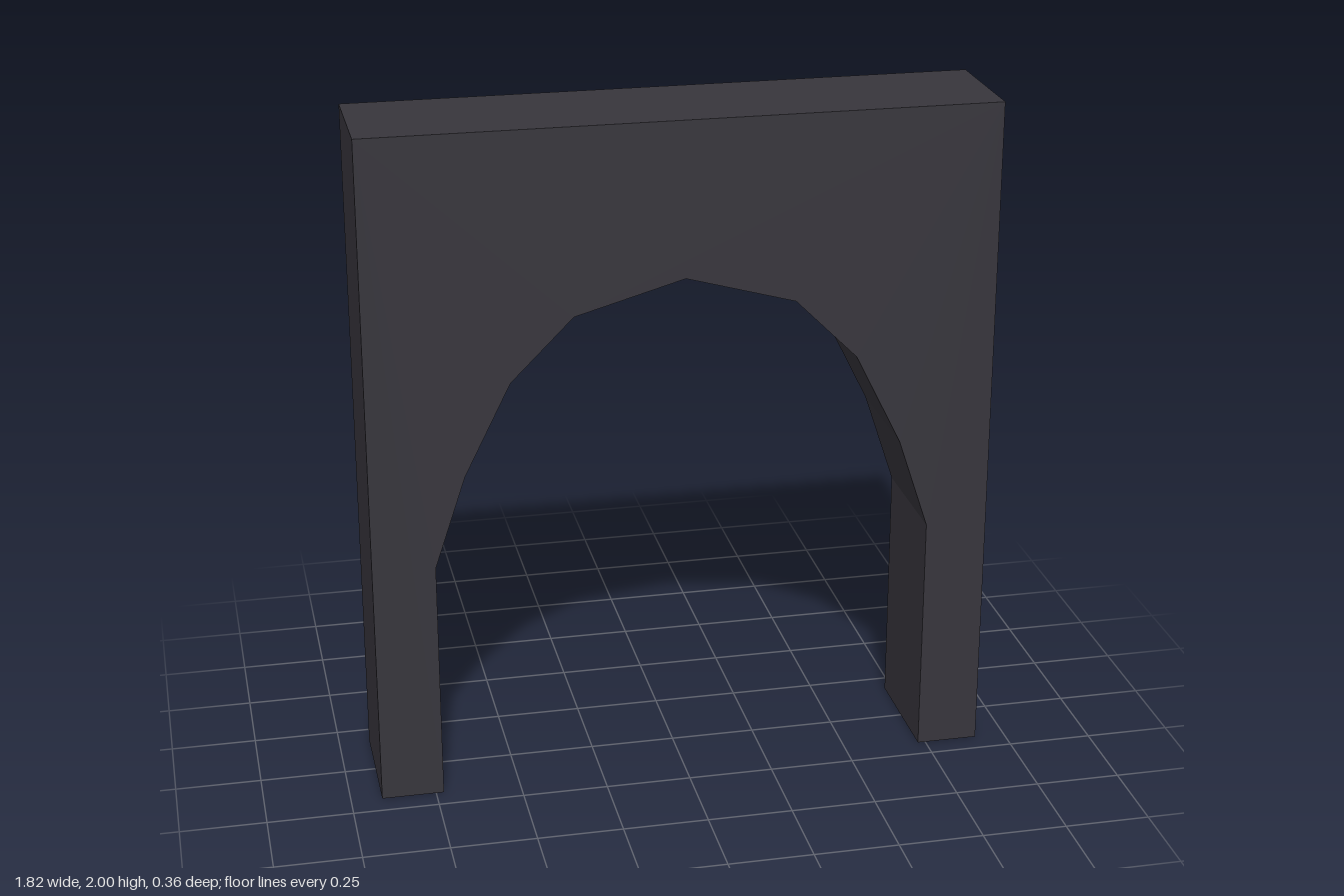
import * as THREE from 'three';

export function createModel() {
  const group = new THREE.Group();
  group.name = 'archway';
  const darkStone = new THREE.MeshStandardMaterial({ color: 0x37353c, flatShading: true });
  darkStone.name = 'dark stone';

  const halfWidth = 0.909, height = 2, depth = 0.364;

  // Half of the faceted opening, from the foot up to just below the crown
  const side = [[0.727, 0], [0.727, 0.727], [0.636, 1], [0.5, 1.273], [0.318, 1.455]];
  const mirrored = side.map(([x, y]) => [-x, y]).reverse();

  // Wall outline, counter-clockwise, with the opening cut up from the ground
  const outline = [
    [halfWidth, 0], [halfWidth, height], [-halfWidth, height], [-halfWidth, 0],
    ...mirrored.reverse(), [0, 1.545], ...side.slice().reverse(),
  ];
  const shape = new THREE.Shape(outline.map(([x, y]) => new THREE.Vector2(x, y)));
  const geometry = new THREE.ExtrudeGeometry(shape, { depth, bevelEnabled: false });
  geometry.translate(0, 0, -depth / 2);

  const wall = new THREE.Mesh(geometry, darkStone);
  wall.name = 'archWall';
  group.add(wall);
  return group;
}
